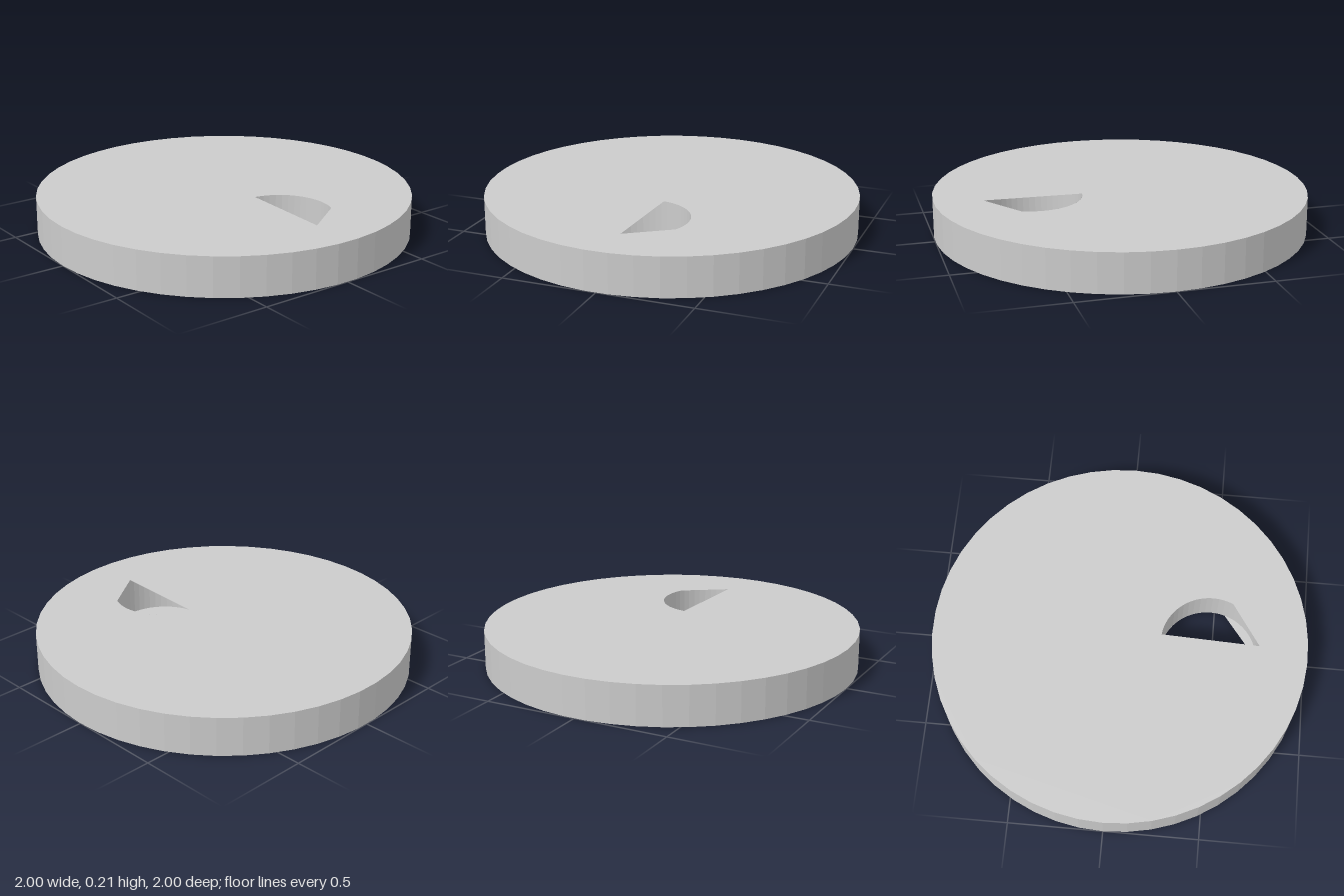
import * as THREE from 'three';

const HEIGHT = 0.21;
const SIDES = 50;
const BORE = { x: 0.48, z: -0.008, r: 0.263 };

export function createModel() {
  const group = new THREE.Group();
  const material = new THREE.MeshStandardMaterial({
    color: 0xcccccc, flatShading: true, side: THREE.DoubleSide,
  });

  function add(name, geometry, x, y, z) {
    const mesh = new THREE.Mesh(geometry, material);
    mesh.name = name;
    mesh.position.set(x, y, z);
    group.add(mesh);
  }

  // Disc face whose opening bares only part of the round bore:
  // one corner, a straight cut to startDeg, then an arc round to the far corner.
  // up is 1 for the upper face and -1 for the lower one.
  function faceGeometry(startDeg, up) {
    const onBore = (deg) => {
      const a = THREE.MathUtils.degToRad(deg);
      return new THREE.Vector2(
        BORE.x + BORE.r * Math.cos(a),
        up * (BORE.r * Math.sin(a) - BORE.z));
    };
    const rim = [];
    for (let i = 0; i < SIDES; i++) {
      const a = (i / SIDES) * Math.PI * 2;
      rim.push(new THREE.Vector2(Math.sin(a), up * -Math.cos(a)));
    }
    const opening = [onBore(2.5)];
    const steps = 15;
    for (let i = 0; i <= steps; i++) {
      opening.push(onBore(startDeg + ((173 - startDeg) * i) / steps));
    }
    const shape = new THREE.Shape(rim);
    shape.holes.push(new THREE.Path(opening));
    return new THREE.ShapeGeometry(shape).rotateX(-up * Math.PI / 2);
  }

  // Outer wall of the disc
  add('outerRim', new THREE.CylinderGeometry(1, 1, HEIGHT, SIDES, 1, true), 0, HEIGHT / 2, 0);

  // Upper and lower faces, each partly covering the bore
  add('topFace', faceGeometry(65.5, 1), 0, HEIGHT, 0);
  add('bottomFace', faceGeometry(73, -1), 0, 0, 0);

  // Full round wall of the bore, facing inwards
  const wall = new THREE.CylinderGeometry(BORE.r, BORE.r, HEIGHT, SIDES, 1, true).scale(-1, 1, 1);
  add('boreWall', wall, BORE.x, HEIGHT / 2, BORE.z);

  return group;
}
